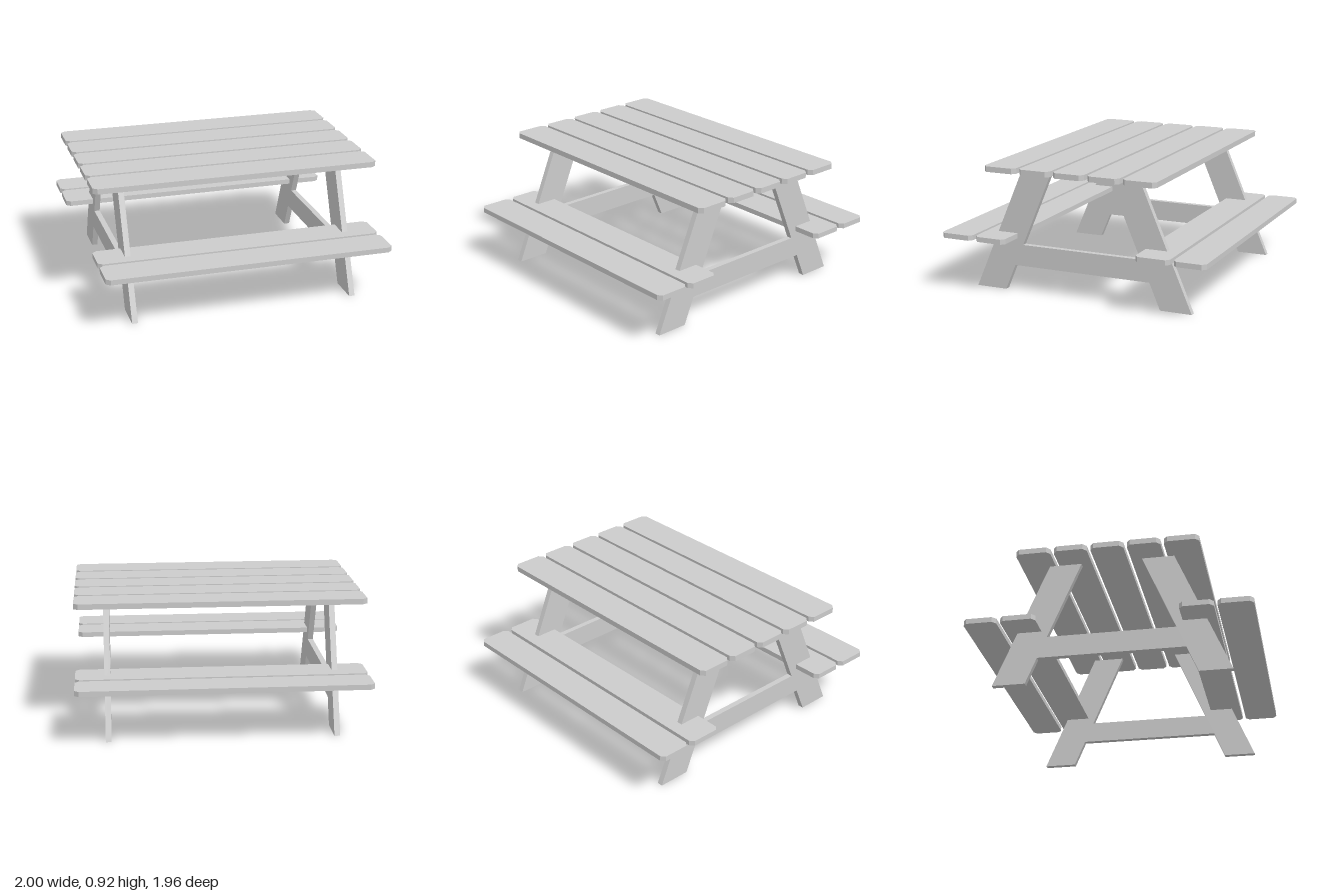
import * as THREE from 'three';

const material = new THREE.MeshStandardMaterial({ color: 0xcccccc });

// Extrudes a closed outline of [u, v] points
function extrude(points, depth) {
  const shape = new THREE.Shape(points.map(([u, v]) => new THREE.Vector2(u, v)));
  return new THREE.ExtrudeGeometry(shape, { depth, bevelEnabled: false });
}

// Full-length board with clipped corners, lying flat between z0 and z1
function plank(name, z0, z1, top, thickness) {
  const L = 1, cx = 0.03, cz = 0.025;
  const geometry = extrude([
    [-L + cx, z0], [L - cx, z0], [L, z0 + cz], [L, z1 - cz],
    [L - cx, z1], [-L + cx, z1], [-L, z1 - cz], [-L, z0 + cz],
  ], thickness);
  geometry.rotateX(Math.PI / 2).translate(0, top, 0);
  const mesh = new THREE.Mesh(geometry, material);
  mesh.name = name;
  return mesh;
}

// Upright board with a [z, y] outline, centred on the given x
function upright(name, outline, x, thickness = 0.04) {
  const geometry = extrude(outline, thickness);
  geometry.rotateY(-Math.PI / 2).translate(x + thickness / 2, 0, 0);
  const mesh = new THREE.Mesh(geometry, material);
  mesh.name = name;
  return mesh;
}

export function createModel() {
  const model = new THREE.Group();
  model.name = 'picnicTable';

  // Table top: five spaced boards
  const tableTop = new THREE.Group();
  tableTop.name = 'tableTop';
  for (const [z0, z1] of [[-0.633, -0.394], [-0.37, -0.14], [-0.115, 0.113], [0.137, 0.366], [0.39, 0.631]]) {
    tableTop.add(plank('tablePlank', z0, z1, 0.918, 0.038));
  }
  model.add(tableTop);

  // Benches: two boards each
  const benches = {
    frontBench: [[0.486, 0.716], [0.74, 0.979]],
    backBench: [[-0.979, -0.752], [-0.726, -0.482]],
  };
  for (const [name, planks] of Object.entries(benches)) {
    const bench = new THREE.Group();
    bench.name = name;
    for (const [z0, z1] of planks) bench.add(plank('benchPlank', z0, z1, 0.416, 0.036));
    model.add(bench);
  }

  // End frames: two slanted legs joined by a flush crossbeam
  const height = 0.88;
  const innerZ = (y) => 0.586 - 0.425 * y;
  for (const side of [1, -1]) {
    const frame = new THREE.Group();
    frame.name = side > 0 ? 'leftFrame' : 'rightFrame';
    const x = side * 0.781;
    for (const s of [1, -1]) {
      const outline = [[0.586, 0], [0.813, 0], [0.436, height], [innerZ(height), height]];
      frame.add(upright(s > 0 ? 'frontLeg' : 'backLeg', outline.map(([z, y]) => [s * z, y]), x));
    }
    const lo = 0.184, hi = 0.336;
    frame.add(upright('crossbeam', [
      [-innerZ(lo), lo], [innerZ(lo), lo], [innerZ(hi), hi], [-innerZ(hi), hi],
    ], x));
    model.add(frame);
  }
  return model;
}
